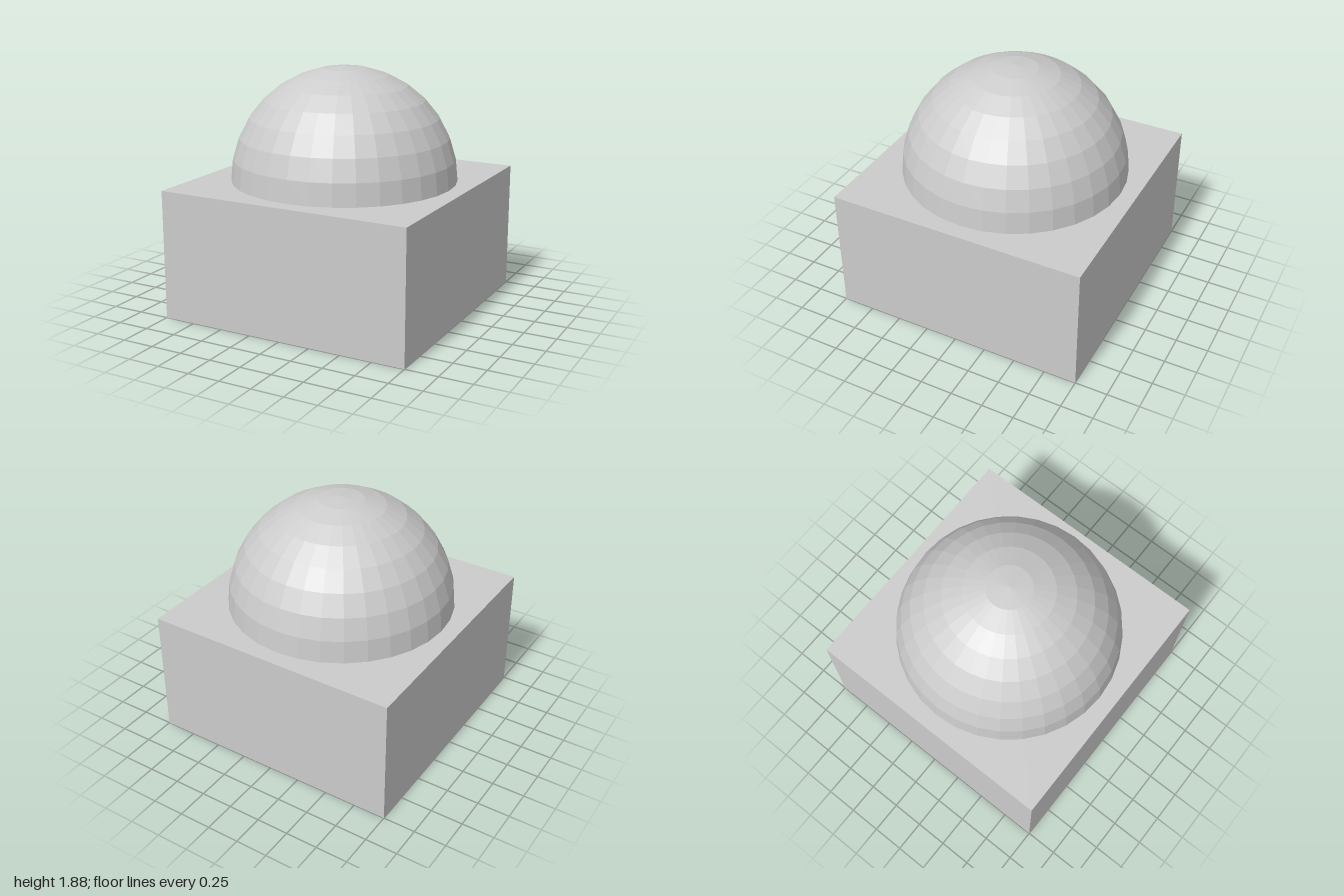
import * as THREE from 'three';

export function createModel() {
  const model = new THREE.Group();
  const material = new THREE.MeshStandardMaterial({ color: 0xcccccc, flatShading: true });

  const add = (name, geometry, y) => {
    const mesh = new THREE.Mesh(geometry, material);
    mesh.name = name;
    mesh.position.y = y;
    model.add(mesh);
  };

  // Square block standing on the ground
  add('base', new THREE.BoxGeometry(2, 1, 2), 0.5);

  // Faceted half sphere resting on the block
  add('dome', new THREE.SphereGeometry(0.875, 32, 8, 0, Math.PI * 2, 0, Math.PI / 2), 1);

  return model;
}
